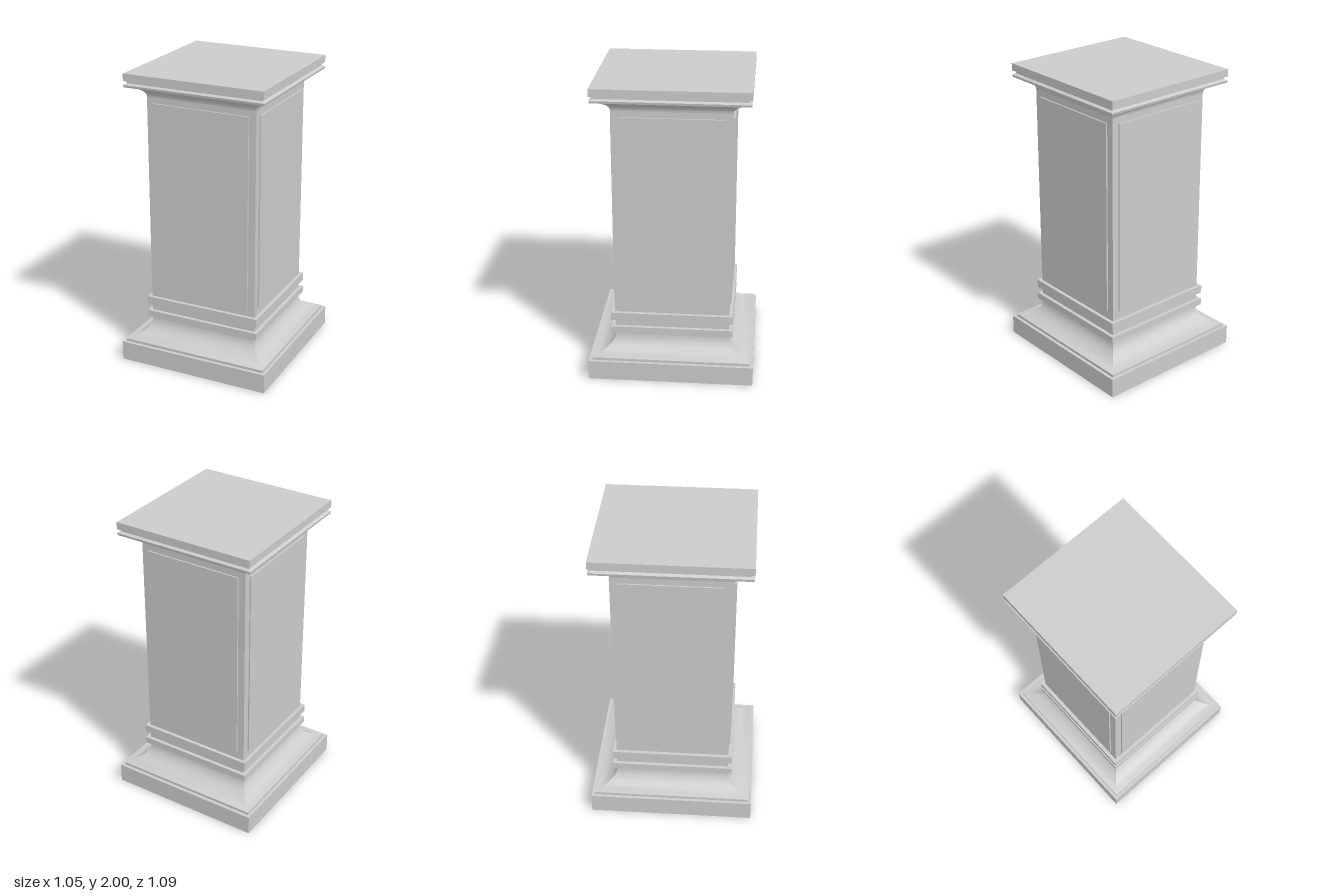
import * as THREE from 'three';
import { toCreasedNormals } from 'three/addons/utils/BufferGeometryUtils.js';

const material = new THREE.MeshStandardMaterial({ color: 0xcccccc });

function add(group, name, geometry, x = 0, y = 0, z = 0) {
  const mesh = new THREE.Mesh(geometry, material);
  mesh.name = name;
  mesh.position.set(x, y, z);
  group.add(mesh);
  return mesh;
}

// Box given by half widths and its bottom and top heights
function slab(group, name, hx, hz, y0, y1) {
  return add(group, name, new THREE.BoxGeometry(hx * 2, y1 - y0, hz * 2), 0, (y0 + y1) / 2, 0);
}

// Mitred moulding: rectangular rings [halfX, halfZ, y], from bottom to top
function moulding(rings) {
  const corners = [[1, 1], [1, -1], [-1, -1], [-1, 1]];
  const position = [];
  const point = ([hx, hz, y], [sx, sz]) => [hx * sx, y, hz * sz];
  for (let i = 0; i < rings.length - 1; i++) {
    for (let s = 0; s < 4; s++) {
      const c = corners[s], d = corners[(s + 1) % 4];
      const a = point(rings[i], c), b = point(rings[i], d);
      const e = point(rings[i + 1], d), f = point(rings[i + 1], c);
      position.push(...a, ...b, ...e, ...a, ...e, ...f);
    }
  }
  const geometry = new THREE.BufferGeometry();
  geometry.setAttribute('position', new THREE.Float32BufferAttribute(position, 3));
  return toCreasedNormals(geometry, 0.6);
}

// Concave sweep between the shaft edge and a wider edge
function cove(hx, hz, yShaft, yWide, steps = 8) {
  const rings = [];
  for (let i = 0; i <= steps; i++) {
    const a = (i / steps) * 1.25;
    const out = (1 - Math.cos(a)) / (1 - Math.cos(1.25));
    const along = Math.sin(a) / Math.sin(1.25);
    rings.push([0.38 + (hx - 0.38) * out, 0.38 + (hz - 0.38) * out, yShaft + (yWide - yShaft) * along]);
  }
  return rings;
}

export function createModel() {
  const group = new THREE.Group();
  group.name = 'pedestal';

  // Plinth and flared foot
  slab(group, 'plinth', 0.527, 0.547, 0, 0.132);
  add(group, 'baseMoulding', moulding([
    [0.505, 0.524, 0.13], [0.505, 0.524, 0.147],
    ...cove(0.505, 0.524, 0.27, 0.15).reverse(),
  ]));

  // Shaft with two bands
  slab(group, 'shaft', 0.38, 0.38, 0.13, 1.95);
  slab(group, 'lowerBand', 0.404, 0.404, 0.29, 0.335);
  slab(group, 'upperBand', 0.404, 0.404, 0.383, 0.438);

  // Raised panel on each face
  for (let i = 0; i < 4; i++) {
    const a = i * Math.PI / 2;
    const panel = add(group, 'panel', new THREE.BoxGeometry(0.662, 1.298, 0.02),
      Math.sin(a) * 0.38, 1.146, Math.cos(a) * 0.38);
    panel.rotation.y = a;
  }

  // Capital moulding and cap slab
  add(group, 'capitalMoulding', moulding([
    ...cove(0.48, 0.494, 1.835, 1.91),
    [0.483, 0.497, 1.925], [0.465, 0.48, 1.935], [0.465, 0.48, 1.955],
  ]));
  slab(group, 'cap', 0.48, 0.5, 1.952, 2);

  return group;
}
